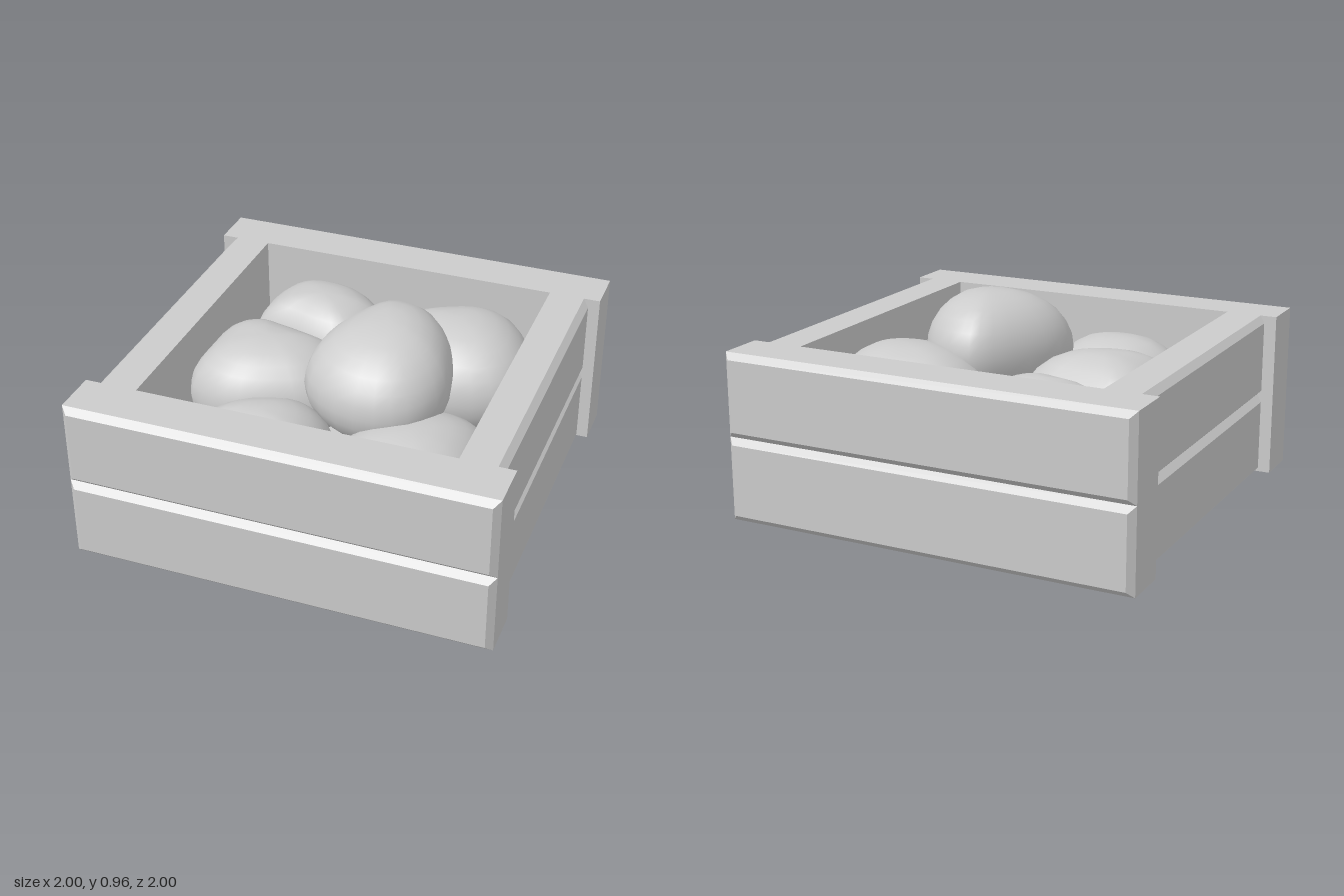
import * as THREE from 'three';

const material = new THREE.MeshStandardMaterial({ color: 0xcccccc, side: THREE.DoubleSide });
const BEVEL = 0.03;

// Plank whose outer (+z) face has chamfered edges
function plankGeometry(width, height, depth) {
  const box = new THREE.BoxGeometry(width, height, depth, 1, 1, 2);
  const p = box.attributes.position;
  for (let i = 0; i < p.count; i++) {
    const z = p.getZ(i);
    if (Math.abs(z) < 1e-6) {
      p.setZ(i, depth / 2 - BEVEL);
    } else if (z > 0) {
      p.setX(i, p.getX(i) - Math.sign(p.getX(i)) * BEVEL);
      p.setY(i, p.getY(i) - Math.sign(p.getY(i)) * BEVEL);
    }
  }
  const flat = box.toNonIndexed();
  flat.computeVertexNormals();
  return flat;
}

// Rounded lump: a closed plan outline swept through rings that shrink towards both poles
function lumpGeometry({ plan, y, ry, tilt = 0 }) {
  const AROUND = 28, RINGS = 14;
  const curve = new THREE.CatmullRomCurve3(plan.map(([x, z]) => new THREE.Vector3(x, 0, z)), true);
  const outline = Array.from({ length: AROUND }, (_, i) => curve.getPoint(i / AROUND));
  const centre = outline.reduce((sum, q) => sum.add(q), new THREE.Vector3()).divideScalar(AROUND);
  const positions = [], index = [];
  const add = (x, h, z) => positions.push(x, y + h - tilt * (z - centre.z), z);

  add(centre.x, -ry, centre.z);
  for (let r = 1; r < RINGS; r++) {
    const a = -Math.PI / 2 + (Math.PI * r) / RINGS;
    const spread = Math.pow(Math.cos(a), 0.88);
    for (const q of outline) {
      const v = centre.clone().lerp(q, spread);
      add(v.x, ry * Math.sin(a), v.z);
    }
  }
  add(centre.x, ry, centre.z);

  const id = (r, i) => 1 + (r - 1) * AROUND + (i % AROUND);
  const top = 1 + (RINGS - 1) * AROUND;
  for (let i = 0; i < AROUND; i++) {
    index.push(0, id(1, i), id(1, i + 1));
    for (let r = 1; r < RINGS - 1; r++) {
      index.push(id(r, i), id(r + 1, i), id(r, i + 1));
      index.push(id(r, i + 1), id(r + 1, i), id(r + 1, i + 1));
    }
    index.push(id(RINGS - 1, i), top, id(RINGS - 1, i + 1));
  }
  const g = new THREE.BufferGeometry();
  g.setAttribute('position', new THREE.Float32BufferAttribute(positions, 3));
  g.setIndex(index);
  g.computeVertexNormals();
  return g;
}

// Plan outlines as [x, z], running from +x towards +z
const lumps = {
  topPotato: { y: 0.69, ry: 0.275, tilt: 0.06, plan: [
    [0.49, 0.0], [0.51, 0.19], [0.42, 0.37], [0.26, 0.445], [0.03, 0.41], [-0.14, 0.27],
    [-0.16, 0.08], [-0.08, -0.14], [0.05, -0.32], [0.15, -0.35], [0.3, -0.31], [0.42, -0.18]] },
  backLeftPotato: { y: 0.46, ry: 0.27, plan: [
    [0.02, -0.52], [-0.03, -0.32], [-0.12, -0.23], [-0.3, -0.24], [-0.5, -0.3],
    [-0.65, -0.35], [-0.68, -0.45], [-0.64, -0.68], [-0.53, -0.79], [-0.22, -0.77], [-0.06, -0.65]] },
  backRightPotato: { y: 0.5, ry: 0.28, plan: [
    [0.77, -0.4], [0.76, -0.24], [0.68, -0.12], [0.47, -0.05], [0.2, -0.1],
    [0.02, -0.26], [-0.01, -0.42], [0.04, -0.55], [0.2, -0.66], [0.42, -0.74], [0.58, -0.72], [0.7, -0.6]] },
  leftPotato: { y: 0.47, ry: 0.27, plan: [
    [-0.02, 0.0], [-0.1, 0.18], [-0.24, 0.26], [-0.46, 0.33], [-0.62, 0.31], [-0.76, 0.22],
    [-0.78, 0.0], [-0.75, -0.23], [-0.62, -0.32], [-0.48, -0.3], [-0.24, -0.24], [-0.08, -0.18]] },
  frontLeftPotato: { y: 0.4, ry: 0.28, plan: [
    [0.08, 0.5], [0.07, 0.66], [-0.08, 0.77], [-0.3, 0.8], [-0.51, 0.76],
    [-0.61, 0.6], [-0.6, 0.5], [-0.5, 0.36], [-0.32, 0.26], [-0.1, 0.22], [0.03, 0.32]] },
  frontRightPotato: { y: 0.39, ry: 0.27, plan: [
    [0.77, 0.36], [0.75, 0.55], [0.62, 0.76], [0.4, 0.81], [0.22, 0.76], [0.07, 0.63],
    [0.08, 0.4], [0.2, 0.18], [0.4, 0.04], [0.56, 0.02], [0.72, 0.11]] },
};

export function createModel() {
  const model = new THREE.Group();
  const crate = new THREE.Group();
  crate.name = 'crate';
  const contents = new THREE.Group();
  contents.name = 'potatoes';
  model.add(crate, contents);

  // Two planks stacked on each of the four walls
  const endPlank = plankGeometry(2, 0.4, 0.25);
  const sidePlank = plankGeometry(1.5, 0.4, 0.2);
  ['front', 'left', 'back', 'right'].forEach((side, i) => {
    const isEnd = i % 2 === 0;
    const wall = new THREE.Group();
    wall.name = side + 'Wall';
    wall.rotation.y = (i * Math.PI) / 2;
    for (const [level, y] of [['lower', 0.2], ['upper', 0.6]]) {
      const plank = new THREE.Mesh(isEnd ? endPlank : sidePlank, material);
      plank.name = level + 'Plank';
      plank.position.set(0, y, isEnd ? 0.875 : 0.85);
      wall.add(plank);
    }
    crate.add(wall);
  });

  // Floor between the walls
  const floor = new THREE.Mesh(new THREE.BoxGeometry(1.5, 0.15, 1.5), material);
  floor.name = 'floor';
  floor.position.y = 0.075;
  crate.add(floor);

  // Potatoes
  for (const [name, spec] of Object.entries(lumps)) {
    const potato = new THREE.Mesh(lumpGeometry(spec), material);
    potato.name = name;
    contents.add(potato);
  }
  return model;
}
